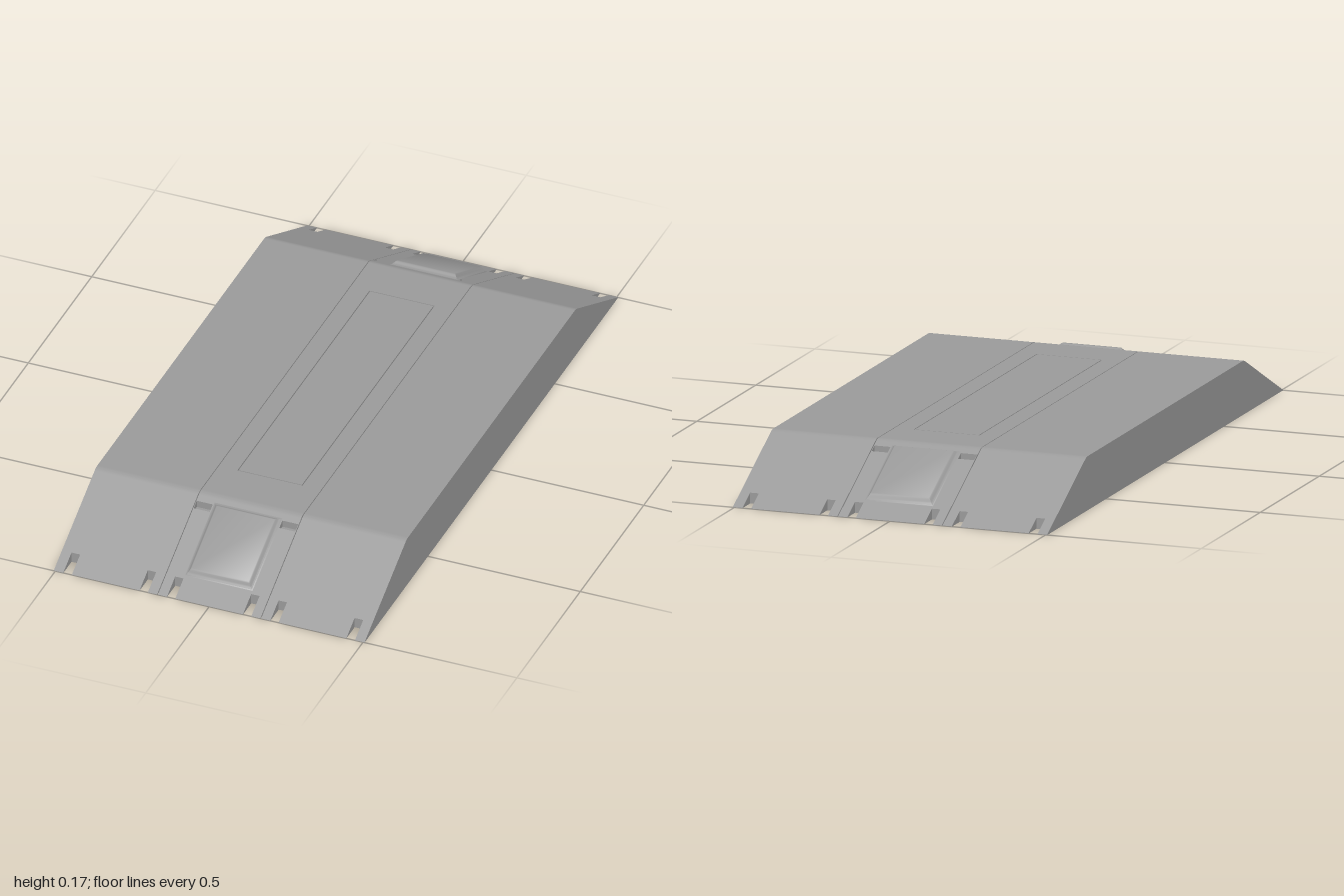
import * as THREE from 'three';
import { mergeGeometries, toCreasedNormals } from 'three/addons/utils/BufferGeometryUtils.js';

const H = 0.167, TIP = 0.001;          // deck height, thickness of the ramp tip
const RIDGE = 0.667, R = 0.01;         // ramp start and half length of its rounding
const SLOPE = (H - TIP) / (1 - RIDGE);
const SLOT_Z = 0.935;
const GROOVE = 0.015;
const PAD_HEIGHT = 0.018;

// Height of the upper surface at a given z
function topY(z) {
  const d = Math.abs(z) - RIDGE;
  if (d <= -R) return H;
  if (d >= R) return H - SLOPE * d;
  return H - SLOPE * (d + R) ** 2 / (4 * R);
}

const rect = (x0, x1, z0, z1) => [[x0, z1], [x1, z1], [x1, z0], [x0, z0]];

// Horizontal face over an [x, z] outline, lifted to height yOf(z)
function cap(outline, yOf, holes = [], down = false) {
  const toVec = ([x, z]) => new THREE.Vector2(x, -z);
  const shape = new THREE.Shape(outline.map(toVec));
  holes.forEach(h => shape.holes.push(new THREE.Path(h.map(toVec))));
  const geo = new THREE.ShapeGeometry(shape).rotateX(-Math.PI / 2).toNonIndexed();
  geo.deleteAttribute('uv');
  geo.deleteAttribute('normal');
  const p = geo.attributes.position;
  for (let i = 0; i < p.count; i++) p.setY(i, yOf(p.getZ(i)));
  if (down) {
    for (let i = 0; i < p.count; i += 3) {
      const a = new THREE.Vector3().fromBufferAttribute(p, i + 1);
      const b = new THREE.Vector3().fromBufferAttribute(p, i + 2);
      p.setXYZ(i + 1, b.x, b.y, b.z);
      p.setXYZ(i + 2, a.x, a.y, a.z);
    }
  }
  return geo;
}

// Faces between two matching closed rings of [x, y, z] points
function band(low, high, skip = () => false) {
  const pos = [];
  low.forEach((a, i) => {
    const j = (i + 1) % low.length;
    if (skip(a, low[j])) return;
    pos.push(...a, ...low[j], ...high[j], ...a, ...high[j], ...high[i]);
  });
  return new THREE.BufferGeometry().setAttribute('position', new THREE.Float32BufferAttribute(pos, 3));
}

const ring = (outline, yOf) => outline.map(([x, z]) => [x, yOf(z), z]);

// Merge pieces with one flat normal per face
function mergeFlat(parts) {
  const geo = mergeGeometries(parts);
  geo.computeVertexNormals();
  return geo;
}

// Solid piece of a slab; cuts between neighbouring pieces stay open
function section(outline, holes = [], floorY = 0) {
  const isCut = (a, b) => a[2] === b[2] && Math.abs(a[2]) < 0.68;
  const parts = [
    cap(outline, topY, holes),
    cap(outline, () => 0, [], true),
    band(ring(outline, () => 0), ring(outline, topY), isCut),
  ];
  for (const h of holes) {
    const inward = [...h].reverse();
    parts.push(cap(h, () => floorY), band(ring(inward, () => floorY), ring(inward, topY)));
  }
  return parts;
}

// One end of a slab: finely stepped ridge, then the ramp with slots in its tip
function rampEnd(x0, x1, slots, pockets) {
  const parts = [], n = 10, start = RIDGE - R, step = 2 * R / n;
  for (let i = 0; i < n; i++) {
    parts.push(...section(rect(x0, x1, start + i * step, start + (i + 1) * step)));
  }
  const z0 = start + n * step;
  const outline = [[x0, z0], [x0, 1]];
  for (const [a, b] of slots) outline.push([a, 1], [a, SLOT_Z], [b, SLOT_Z], [b, 1]);
  outline.push([x1, 1], [x1, z0]);
  parts.push(...section(outline, pockets, 0.13));
  return parts;
}

// Full slab, with slots given for the front end
function slab(x0, x1, slots, pockets = [], deckHoles = []) {
  const back = slots.map(([a, b]) => [-b, -a]).reverse();
  return mergeFlat([
    ...section(rect(x0, x1, -RIDGE + R, RIDGE - R), deckHoles, H - GROOVE),
    ...rampEnd(x0, x1, slots, pockets),
    ...rampEnd(-x1, -x0, back, pockets).map(g => g.rotateY(Math.PI)),
  ]);
}

// Raised pad lying on the ramp, its sides blending softly into the surface
function pad() {
  const n = 6, rings = [];
  for (let i = 0; i <= n; i++) {
    const t = i / n;
    const lift = PAD_HEIGHT * t * t * (3 - 2 * t);
    const x = 0.11 - 0.02 * t;
    rings.push(ring(rect(-x, x, 0.69 + 0.027 * t, 0.925 - 0.014 * t), z => topY(z) + lift));
  }
  const parts = rings.slice(1).map((r, i) => band(rings[i], r));
  parts.push(cap(rings[n].map(([x, , z]) => [x, z]), z => topY(z) + PAD_HEIGHT));
  return toCreasedNormals(mergeGeometries(parts), 0.8);
}

export function createModel() {
  const group = new THREE.Group();
  const material = new THREE.MeshStandardMaterial({ color: 0x9a9a9a });
  const add = (name, geometry) => {
    const mesh = new THREE.Mesh(geometry, material);
    mesh.name = name;
    group.add(mesh);
    return mesh;
  };

  // Side slabs
  const near = [0.199, 0.226], far = [0.446, 0.474];
  const mirrored = ([a, b]) => [-b, -a];
  add('leftSlab', slab(0.169, 0.505, [near, far]));
  add('rightSlab', slab(-0.505, -0.169, [mirrored(far), mirrored(near)]));

  // Centre strip with hand pockets and a recess for the cover
  const inner = [0.11, 0.137];
  const pockets = [rect(0.113, 0.165, 0.697, 0.721), rect(-0.165, -0.113, 0.697, 0.721)];
  add('centreStrip', slab(-0.1665, 0.1665, [mirrored(inner), inner], pockets, [rect(-0.106, 0.106, -0.521, 0.521)]));

  // Flush deck cover with a thin groove around it
  const cover = rect(-0.103, 0.103, -0.518, 0.518);
  add('deckCover', mergeFlat([
    cap(cover, () => H),
    band(ring(cover, () => H - GROOVE), ring(cover, () => H)),
  ]));

  // Raised pads on both ramps
  add('frontPad', pad());
  add('backPad', pad()).rotation.y = Math.PI;

  return group;
}
